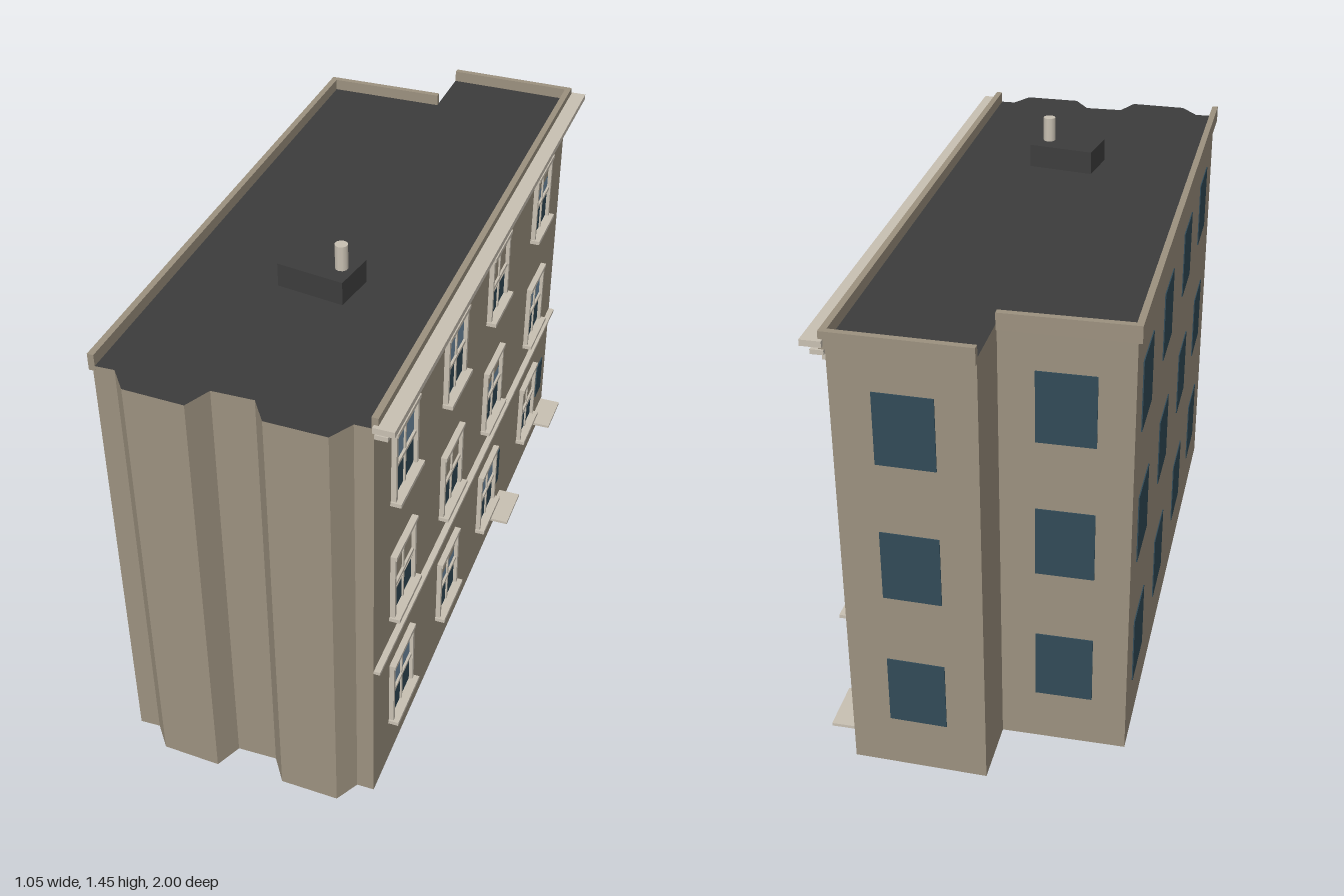
import * as THREE from 'three';

const mat = (name, color) => Object.assign(new THREE.MeshStandardMaterial({ color }), { name });

export function createModel() {
  const M = {
    wall: mat('tan stone', 0x9c917f),
    trim: mat('pale trim', 0xc8c0b2),
    roof: mat('dark roofing', 0x3c3c3c),
    glass: mat('dark glass', 0x314a57),
    sky: mat('light glass', 0x7490a6),
    blind: mat('window blind', 0xa09684),
  };
  const model = new THREE.Group();
  model.name = 'building';

  // Box given by its ranges along each axis
  function box(parent, name, material, x0, x1, y0, y1, z0, z1) {
    const mesh = new THREE.Mesh(new THREE.BoxGeometry(x1 - x0, y1 - y0, z1 - z0), material);
    mesh.position.set((x0 + x1) / 2, (y0 + y1) / 2, (z0 + z1) / 2);
    mesh.name = name;
    parent.add(mesh);
    return mesh;
  }

  // Footprint corners as [x, z], with two shallow bays along the front
  const corner = {
    frontRight: [0.463, 0.84], backRight: [0.18, -0.975], backMid: [-0.194, -0.925],
    notch: [-0.166, -0.735], backLeft: [-0.514, -0.68], frontLeft: [-0.262, 0.953],
  };
  const bays = [[-0.204, 0.942], [-0.143, 0.997], [0.026, 0.978], [0.048, 0.9],
    [0.162, 0.88], [0.22, 0.94], [0.387, 0.918], [0.414, 0.848]];
  const outline = [...Object.values(corner), ...bays];
  const ROOF = 1.305;
  const body = new THREE.Mesh(
    new THREE.ExtrudeGeometry(new THREE.Shape(outline.map(([x, z]) => new THREE.Vector2(x, -z))),
      { depth: ROOF, bevelEnabled: false }), [M.roof, M.wall]);
  body.rotation.x = -Math.PI / 2;
  body.name = 'walls and roof';
  model.add(body);

  // Group lying on a wall: x runs from a to b, z points outward
  function wallGroup(name, a, b) {
    const g = new THREE.Group();
    const dx = b[0] - a[0], dz = b[1] - a[1];
    g.position.set(a[0], 0, a[1]);
    g.rotation.y = Math.atan2(-dz, dx);
    g.name = name;
    g.userData.length = Math.hypot(dx, dz);
    model.add(g);
    return g;
  }
  const street = wallGroup('streetWall', corner.frontRight, corner.backRight);
  const back = wallGroup('backWall', corner.backRight, corner.backMid);
  const backStep = wallGroup('steppedBackWall', corner.notch, corner.backLeft);
  const left = wallGroup('leftWall', corner.backLeft, corner.frontLeft);

  // Parapets
  const parapet = (g, startOut, endOut) =>
    box(g, 'parapet', M.wall, -startOut, g.userData.length + endOut, 1.29, 1.338, -0.006, 0.012);
  parapet(street, 0, 0.012);
  parapet(back, 0.012, 0);
  parapet(backStep, 0, 0.012);
  parapet(left, 0.012, 0);

  // Plain windows on the left and back walls
  const floors = [0.157, 0.567, 0.976];
  for (const y of floors) {
    for (const f of [0.116, 0.356, 0.612, 0.853]) {
      const c = f * left.userData.length;
      box(left, 'plainWindow', M.glass, c - 0.0875, c + 0.0875, y, y + 0.206, -0.002, 0.003);
    }
    for (const g of [back, backStep]) {
      const c = g.userData.length / 2;
      box(g, 'plainWindow', M.glass, c - 0.08, c + 0.08, y, y + 0.206, -0.002, 0.003);
    }
  }

  // Sash windows on the street wall; drop is how far the blind hangs below the top
  const along = z => (0.84 - z) / 0.988;
  function sashWindow(c, y, drop) {
    const g = new THREE.Group();
    g.name = 'sashWindow';
    g.position.set(c, y, 0);
    street.add(g);
    const w = 0.078, h = 0.206, mid = 0.103;
    box(g, 'lowerPane', M.glass, -w, w, 0, Math.min(mid, h - drop), -0.002, 0.003);
    if (h - drop > mid) box(g, 'upperPane', M.sky, -w, w, mid, h - drop, -0.002, 0.003);
    if (drop > 0) box(g, 'blind', M.blind, -w, w, h - drop, h, -0.002, 0.003);
    if (drop > 0.106) box(g, 'blindHem', M.trim, -w, w, h - drop - 0.005, h - drop, 0, 0.006);
    for (const s of [-1, 1]) {
      box(g, 'frameSide', M.trim, s * 0.083 - 0.006, s * 0.083 + 0.006, 0, h, 0, 0.014);
    }
    box(g, 'frameTop', M.trim, -0.089, 0.089, h, h + 0.012, 0, 0.018);
    box(g, 'sill', M.trim, -0.094, 0.094, -0.012, 0, 0, 0.03);
    box(g, 'meetingRail', M.trim, -w, w, mid - 0.005, mid + 0.005, 0, 0.01);
    box(g, 'mullion', M.trim, -0.004, 0.004, 0, h, 0, 0.008);
  }
  const columns = [0.627, 0.204, -0.214, -0.702].map(along);
  const blinds = [[0, 0.068, 0, 0.124], [0.124, 0.1, 0.065, 0], [0, 0, 0.122, 0.06]];
  floors.forEach((y, r) => columns.forEach((c, i) => sashWindow(c, y + 0.003, blinds[r][i])));

  // Street doors with their steps
  for (const z of [-0.305, -0.852]) {
    const u = along(z);
    box(street, 'door', M.glass, u, u + 0.067, 0.178, 0.31, -0.002, 0.004);
    box(street, 'doorStep', M.trim, u - 0.04, u + 0.112, 0.082, 0.091, 0, 0.07);
  }

  // Belt course, cornice and brackets
  const L = street.userData.length;
  box(street, 'beltCourse', M.trim, 0, L, 0.477, 0.487, 0, 0.018);
  box(street, 'corniceTop', M.trim, -0.012, L + 0.024, 1.3, 1.317, 0, 0.056);
  box(street, 'corniceBed', M.trim, 0, L + 0.012, 1.274, 1.287, 0, 0.035);
  const bracketRow = (z, count) => {
    for (let i = 0; i < count; i++) {
      const u = along(z - i * 0.087);
      box(street, 'bracket', M.trim, u - 0.009, u + 0.009, 1.237, 1.274, 0, 0.022);
    }
  };
  bracketRow(0.75, 13);
  bracketRow(-0.498, 6);

  // Roof hatch and vent pipe
  box(model, 'roofHatch', M.roof, -0.053, 0.143, ROOF - 0.01, 1.373, 0.298, 0.426);
  const pipe = new THREE.Mesh(new THREE.CylinderGeometry(0.018, 0.018, 0.074, 10), M.trim);
  pipe.position.set(0.105, 1.408, 0.362);
  pipe.name = 'ventPipe';
  model.add(pipe);

  return model;
}
